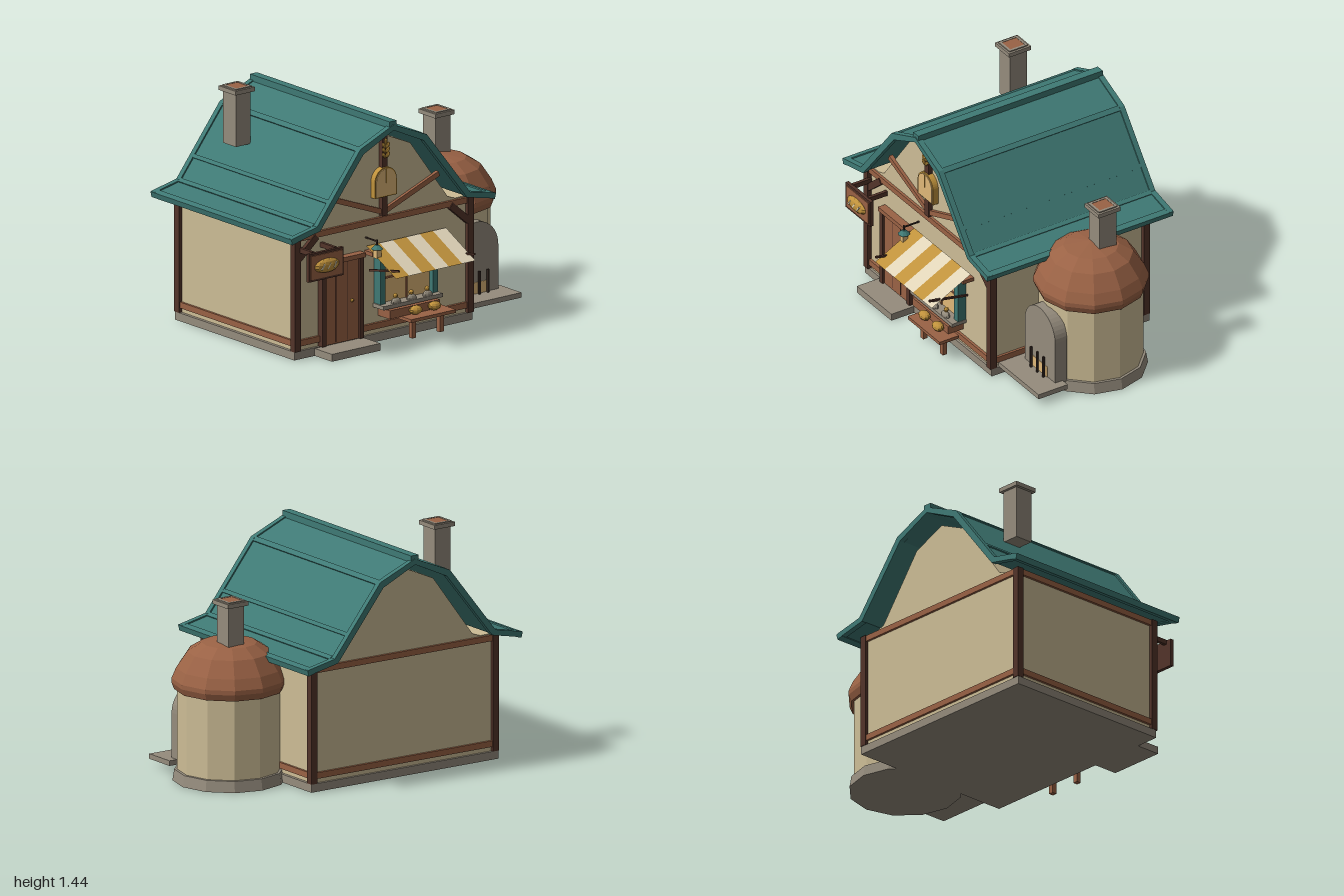
import * as THREE from 'three';

const mat = (name, color, side = THREE.FrontSide) => {
  const m = new THREE.MeshStandardMaterial({ color, side });
  m.name = name;
  return m;
};

export function createModel() {
  const root = new THREE.Group();
  root.name = 'bakery';
  const plaster = mat('plaster', 0xcdbd96);
  const teal = mat('teal', 0x3f7a75);
  const russet = mat('russet', 0x9a6245);
  const timber = mat('dark timber', 0x53342a);
  const stone = mat('stone', 0x958c7d);
  const gold = mat('gold', 0xc0923c, THREE.DoubleSide);
  const cream = mat('cream', 0xe0d4b8, THREE.DoubleSide);
  const glow = mat('window glow', 0xe0b878);
  const iron = mat('iron', 0x3a2c26);

  const MID = -0.227; // house centre line in x

  const add = (name, geo, material, x = 0, y = 0, z = 0) => {
    const m = new THREE.Mesh(geo, material);
    m.name = name;
    m.position.set(x, y, z);
    root.add(m);
    return m;
  };
  const box = (name, material, x0, x1, y0, y1, z0, z1) =>
    add(name, new THREE.BoxGeometry(x1 - x0, y1 - y0, z1 - z0), material,
      (x0 + x1) / 2, (y0 + y1) / 2, (z0 + z1) / 2);
  // Sloped bar in the xy plane
  const bar = (name, material, a, b, thick, z0, z1) => {
    const dx = b[0] - a[0], dy = b[1] - a[1];
    const m = add(name, new THREE.BoxGeometry(Math.hypot(dx, dy), thick, z1 - z0), material,
      (a[0] + b[0]) / 2, (a[1] + b[1]) / 2, (z0 + z1) / 2);
    m.rotation.z = Math.atan2(dy, dx);
    return m;
  };
  const prism = (name, material, pts, z0, z1) => {
    const shape = pts instanceof THREE.Shape ? pts
      : new THREE.Shape(pts.map(p => new THREE.Vector2(p[0], p[1])));
    const geo = new THREE.ExtrudeGeometry(shape, { depth: z1 - z0, bevelEnabled: false, curveSegments: 10 });
    return add(name, geo, material, 0, 0, z0);
  };
  const faceted = geo => {
    const g = geo.toNonIndexed();
    g.computeVertexNormals();
    return g;
  };
  const blob = (name, material, x, y, z, rx, ry, rz) => {
    const m = add(name, faceted(new THREE.SphereGeometry(1, 10, 7)), material, x, y, z);
    m.scale.set(rx, ry, rz);
    return m;
  };
  const arch = (cx, halfW, y0, top) => {
    const s = new THREE.Shape();
    s.moveTo(cx - halfW, y0);
    s.lineTo(cx + halfW, y0);
    s.lineTo(cx + halfW, top - halfW);
    s.absarc(cx, top - halfW, halfW, 0, Math.PI, false);
    s.closePath();
    return s;
  };
  // Mirrors a left half profile (dx from MID, y) running from eave to ridge
  const mirrored = half => [
    ...half.map(([d, y]) => [MID - d, y]),
    ...half.slice(0, -1).reverse().map(([d, y]) => [MID + d, y])];

  // Foundation and walls
  box('foundation', stone, -0.905, 0.45, 0, 0.05, -0.65, 0.46);
  box('walls', plaster, -0.885, 0.43, 0.05, 0.765, -0.635, 0.445);
  prism('gables', plaster,
    mirrored([[0.57, 0.76], [0.5, 0.785], [0.215, 1.168], [0, 1.262]]), -0.635, 0.445);

  // Timber frame
  for (const x of [-0.885, 0.43]) {
    for (const z of [-0.632, 0.448]) {
      box('cornerPost', timber, x - 0.022, x + 0.022, 0.05, 0.76, z - 0.022, z + 0.022);
    }
  }
  for (const [y0, y1] of [[0.078, 0.115], [0.722, 0.758]]) {
    box('frontBeam', russet, -0.87, 0.42, y0, y1, 0.44, 0.462);
    box('backBeam', russet, -0.87, 0.42, y0, y1, -0.65, -0.63);
    box('leftBeam', russet, 0.425, 0.445, y0, y1, -0.62, 0.435);
    box('rightBeam', russet, -0.9, -0.88, y0, y1, -0.62, 0.435);
  }
  box('gablePost', timber, MID - 0.02, MID + 0.02, 0.765, 1.285, 0.44, 0.475);
  for (const s of [-1, 1]) {
    bar('gableBrace', russet, [MID, 0.785], [MID + s * 0.42, 0.945], 0.032, 0.44, 0.465);
    bar('cornerBrace', timber, [MID + s * 0.645, 0.615], [MID + s * 0.51, 0.73], 0.042, 0.44, 0.468);
  }

  // Gambrel roof with raised edge trims, battens and ridge cap
  const outer = [[0.77, 0.775], [0.577, 0.815], [0.247, 1.23], [0, 1.335]];
  const inner = [[0.765, 0.755], [0.562, 0.797], [0.233, 1.207], [0, 1.313]];
  const band = (o, up, down) => [
    ...mirrored(o.map(([d, y]) => [d + up * 0.7, y + up])),
    ...mirrored(inner.map(([d, y]) => [d - down * 0.7, y - down])).reverse()]
    .map(([x, y], i) => (i === 3 || i === 10 ? [MID, y] : [x, y]));
  prism('roofShell', teal, band(outer, 0, 0), -0.74, 0.54);
  for (const z of [-0.755, 0.52]) prism('roofEdgeTrim', teal, band(outer, 0.007, 0.005), z, z + 0.035);
  box('ridgeCap', teal, MID - 0.027, MID + 0.027, 1.305, 1.363, -0.75, 0.55);
  for (const s of [-1, 1]) {
    bar('eaveTrim', teal, [MID + s * 0.735, 0.772], [MID + s * 0.774, 0.762], 0.036, -0.755, 0.555);
    bar('lowerSeam', teal, [MID + s * 0.595, 0.813], [MID + s * 0.57, 0.828], 0.012, -0.72, 0.52);
    bar('middleSeam', teal, [MID + s * 0.48, 0.938], [MID + s * 0.465, 0.957], 0.014, -0.72, 0.52);
    bar('upperSeam', teal, [MID + s * 0.26, 1.218], [MID + s * 0.235, 1.24], 0.012, -0.72, 0.52);
  }

  // Chimneys
  const chimney = (x, z, y0, y1) => {
    box('chimneyStack', stone, x - 0.056, x + 0.056, y0, y1 - 0.02, z - 0.06, z + 0.06);
    box('chimneyCap', stone, x - 0.074, x + 0.074, y1 - 0.03, y1 - 0.004, z - 0.078, z + 0.078);
    box('chimneyFlue', russet, x - 0.045, x + 0.045, y1 - 0.01, y1 + 0.001, z - 0.05, z + 0.05);
    for (const s of [-1, 1]) {
      box('chimneyRim', stone, x - 0.06, x + 0.06, y1 - 0.006, y1 + 0.003, z + s * 0.058 - 0.008, z + s * 0.058 + 0.008);
      box('chimneyRim', stone, x + s * 0.053 - 0.008, x + s * 0.053 + 0.008, y1 - 0.006, y1 + 0.003, z - 0.06, z + 0.06);
    }
  };
  chimney(-0.635, -0.405, 1.087, 1.44);
  chimney(0.688, -0.165, 0.82, 1.108);

  // Round oven house: base, drum and faceted dome
  const lathe = (name, material, pts) => add(name,
    faceted(new THREE.LatheGeometry(pts.map(p => new THREE.Vector2(p[0], p[1])), 12)), material, 0.654, 0, -0.105);
  lathe('ovenBase', stone, [[0.0001, 0], [0.336, 0], [0.325, 0.068], [0.3, 0.07]]);
  lathe('ovenDrum', plaster, [[0.31, 0.06], [0.31, 0.6]]);
  lathe('ovenDome', russet, [[0.3, 0.555], [0.326, 0.555], [0.342, 0.595], [0.342, 0.622],
    [0.315, 0.685], [0.25, 0.782], [0.165, 0.835], [0.0001, 0.863]]);

  // Oven mouth, hearth slab, fire and bars
  prism('ovenArch', stone, arch(0.652, 0.163, 0.05, 0.514), 0.17, 0.253);
  box('hearthSlab', stone, 0.437, 0.868, 0.045, 0.076, 0.2, 0.405);
  box('fireGlow', glow, 0.58, 0.735, 0.076, 0.145, 0.25, 0.257);
  for (const x of [0.588, 0.654, 0.72]) box('ovenBar', iron, x - 0.006, x + 0.006, 0.076, 0.217, 0.268, 0.28);

  // Door with frame and step
  box('doorStep', stone, -0.75, -0.382, 0, 0.045, 0.46, 0.62);
  box('door', russet, -0.682, -0.425, 0.05, 0.548, 0.44, 0.47);
  for (const x of [-0.697, -0.41]) box('doorJamb', timber, x - 0.015, x + 0.015, 0.05, 0.55, 0.44, 0.485);
  box('doorLintel', russet, -0.715, -0.39, 0.546, 0.574, 0.44, 0.495);
  for (const x of [-0.597, -0.511]) box('doorGroove', timber, x - 0.002, x + 0.002, 0.06, 0.54, 0.468, 0.472);
  blob('doorKnob', gold, -0.48, 0.295, 0.478, 0.011, 0.011, 0.011);

  // Hanging sign with a loaf
  box('signFrame', timber, -0.907, -0.643, 0.508, 0.68, 0.575, 0.597);
  box('signPanel', russet, -0.893, -0.657, 0.522, 0.666, 0.595, 0.603);
  blob('signLoaf', gold, -0.775, 0.594, 0.605, 0.095, 0.043, 0.028);
  for (const dx of [-0.045, 0, 0.045]) {
    bar('loafSlash', cream, [-0.787 + dx, 0.578], [-0.763 + dx, 0.612], 0.008, 0.622, 0.631);
  }
  for (const x of [-0.86, -0.69]) box('signBracket', timber, x - 0.01, x + 0.01, 0.655, 0.685, 0.45, 0.58);

  // Shop window with shutters, glazing bars and sill
  box('windowPane', glow, -0.247, 0.115, 0.235, 0.5, 0.44, 0.472);
  for (const x of [-0.265, 0.133]) box('shutter', teal, x - 0.02, x + 0.02, 0.225, 0.545, 0.445, 0.503);
  box('windowMullion', russet, -0.071, -0.06, 0.235, 0.5, 0.465, 0.48);
  box('windowTransom', russet, -0.247, 0.115, 0.38, 0.391, 0.465, 0.48);
  box('windowSill', stone, -0.295, 0.155, 0.213, 0.236, 0.44, 0.545);
  box('displayShelf', russet, -0.255, 0.125, 0.153, 0.205, 0.44, 0.553);
  for (const x of [-0.185, -0.066, 0.055]) {
    blob('sillPot', stone, x, 0.243, 0.525, 0.036, 0.026, 0.02);
    blob('sillBun', gold, x, 0.278, 0.52, 0.015, 0.016, 0.015);
  }

  // Bread table
  box('tableTop', russet, -0.168, 0.173, 0.135, 0.155, 0.51, 0.645);
  for (const x of [-0.1, 0.11]) box('tableLeg', russet, x - 0.015, x + 0.015, 0.018, 0.137, 0.56, 0.59);
  for (const x of [-0.083, 0.06]) blob('tableLoaf', gold, x, 0.186, 0.583, 0.045, 0.027, 0.032);

  // Striped awning: thin sloping panels
  const W = 0.605 / 6;
  for (let i = 0; i < 6; i++) {
    const x = -0.365 + W * (i + 0.5);
    const m = add('awningStripe', new THREE.PlaneGeometry(W, Math.hypot(0.14, 0.275)), i % 2 ? cream : gold,
      x, 0.535, 0.6075);
    m.rotation.x = -Math.atan2(0.275, 0.14);
  }
  box('awningRail', russet, -0.36, 0.235, 0.548, 0.572, 0.44, 0.52);
  for (const x of [-0.348, 0.225]) {
    const m = add('awningStrut', new THREE.BoxGeometry(0.012, 0.012, 0.278), timber, x, 0.483, 0.618);
    m.rotation.x = -Math.atan2(0.053, 0.27);
  }

  // Lantern beside the awning
  box('lanternBody', glow, -0.367, -0.333, 0.548, 0.605, 0.535, 0.569);
  add('lanternCap', faceted(new THREE.CylinderGeometry(0.012, 0.037, 0.025, 8)), teal, -0.35, 0.615, 0.552);
  box('lanternHook', iron, -0.354, -0.346, 0.62, 0.66, 0.548, 0.556);
  box('lanternArm', iron, -0.354, -0.346, 0.645, 0.653, 0.44, 0.556);

  // Gable window and wheat ornament
  prism('gableWindowFrame', gold, arch(MID, 0.083, 0.885, 1.066), 0.44, 0.482);
  prism('gableWindowPane', glow, arch(MID, 0.074, 0.893, 1.057), 0.482, 0.487);
  box('gableWindowBar', gold, MID - 0.003, MID + 0.003, 0.97, 1.057, 0.487, 0.491);
  for (let i = 0; i < 3; i++) {
    for (const s of [-1, 1]) {
      const g = blob('wheatGrain', gold, MID + s * 0.014, 1.14 + i * 0.03, 0.483, 0.011, 0.02, 0.01);
      g.rotation.z = -s * 0.6;
    }
  }
  blob('wheatTip', gold, MID, 1.222, 0.483, 0.01, 0.02, 0.01);
  return root;
}
